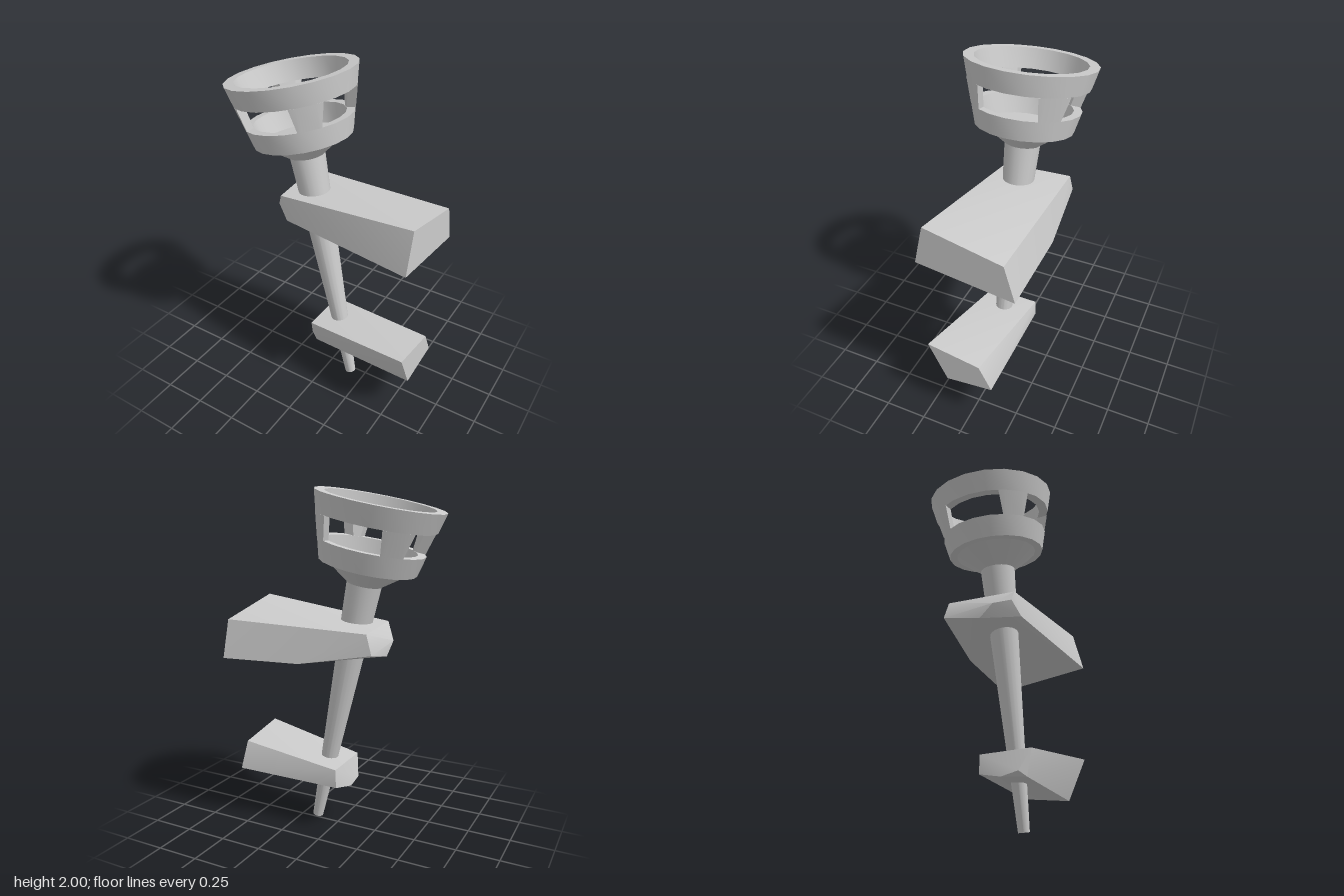
import * as THREE from 'three';
import { toCreasedNormals } from 'three/addons/utils/BufferGeometryUtils.js';
import { ConvexGeometry } from 'three/addons/geometries/ConvexGeometry.js';

const material = new THREE.MeshStandardMaterial({ color: 0xcccccc });
const SIDES = 20;

function addMesh(parent, name, geometry) {
  const mesh = new THREE.Mesh(toCreasedNormals(geometry, 0.5), material);
  mesh.name = name;
  parent.add(mesh);
  return mesh;
}

// Turned part from [radius, height] pairs
function turned(points) {
  return new THREE.LatheGeometry(points.map(([r, y]) => new THREE.Vector2(r, y)), SIDES);
}

// Faceted block from its corner points
function block(points) {
  return new ConvexGeometry(points.map((p) => new THREE.Vector3(...p)));
}

// Tapered cup wall
const FLOOR = 1.6, WINDOW_LOW = 1.715, WINDOW_HIGH = 1.847, RIM = 1.96;
const outerRadius = (y) => 0.276 + (y - FLOOR) * 0.242;
const innerRadius = (y) => 0.233 + (y - FLOOR) * 0.206;

function cupBand(low, high) {
  return turned([
    [innerRadius(low), low], [outerRadius(low), low],
    [outerRadius(high), high], [innerRadius(high), high], [innerRadius(low), low],
  ]);
}

// Post left between two straight-sided windows
function cupPost() {
  const half = 0.165, points = [];
  for (const y of [WINDOW_LOW, WINDOW_HIGH]) {
    const ro = outerRadius(y), ri = innerRadius(y);
    const a = Math.asin(half / ro), b = Math.asin(half / ri), c = Math.PI / 5;
    for (const [r, angle] of [[ro, a], [ro, c], [ri, b]]) {
      const u = r * Math.sin(angle), v = r * Math.cos(angle);
      points.push([u, y, v], [v, y, u]);
    }
  }
  return block(points);
}

export function createModel() {
  const model = new THREE.Group();
  model.name = 'wallTorch';

  // Leaning torch, built upright along its own axis
  const torch = new THREE.Group();
  torch.name = 'torch';
  const foot = new THREE.Vector3(0.155, 0.007, 0.03);
  const top = new THREE.Vector3(-0.257, 1.923, 0);
  torch.position.copy(foot);
  torch.quaternion.setFromUnitVectors(new THREE.Vector3(0, 1, 0), top.sub(foot).normalize());
  model.add(torch);

  addMesh(torch, 'shaftAndCupFloor', turned([[0, 0], [0.032, 0], [0.1, 1.5], [0.233, FLOOR], [0, FLOOR]]));
  addMesh(torch, 'lowerCupBand', cupBand(FLOOR, WINDOW_LOW));
  addMesh(torch, 'upperCupBand', cupBand(WINDOW_HIGH, RIM));
  for (let i = 0; i < 4; i++) {
    addMesh(torch, 'cupPost', cupPost()).rotation.y = i * Math.PI / 2;
  }

  // Rough-hewn blocks joining the shaft to the wall: wall end, then free end
  addMesh(model, 'upperBracket', block([
    [0.605, 1.35, 0.22], [0.605, 1.25, -0.225], [0.605, 1.03, -0.285], [0.605, 1.105, 0.28],
    [0.1, 1.05, -0.29],
    [-0.29, 1.24, -0.24], [-0.25, 1.25, 0.15], [-0.325, 1.13, -0.25],
    [-0.32, 1.085, -0.03], [-0.325, 1.16, 0.05], [-0.27, 1.19, 0.14], [-0.2, 1.113, 0.17],
  ]));
  addMesh(model, 'lowerBracket', block([
    [0.61, 0.5, 0.255], [0.61, 0.445, -0.065], [0.61, 0.29, -0.14], [0.61, 0.255, 0.145],
    [-0.055, 0.4, -0.14], [-0.055, 0.405, 0.16], [-0.06, 0.29, -0.14],
    [-0.09, 0.28, 0.1], [-0.09, 0.257, 0], [-0.04, 0.255, 0.13],
  ]));

  return model;
}
